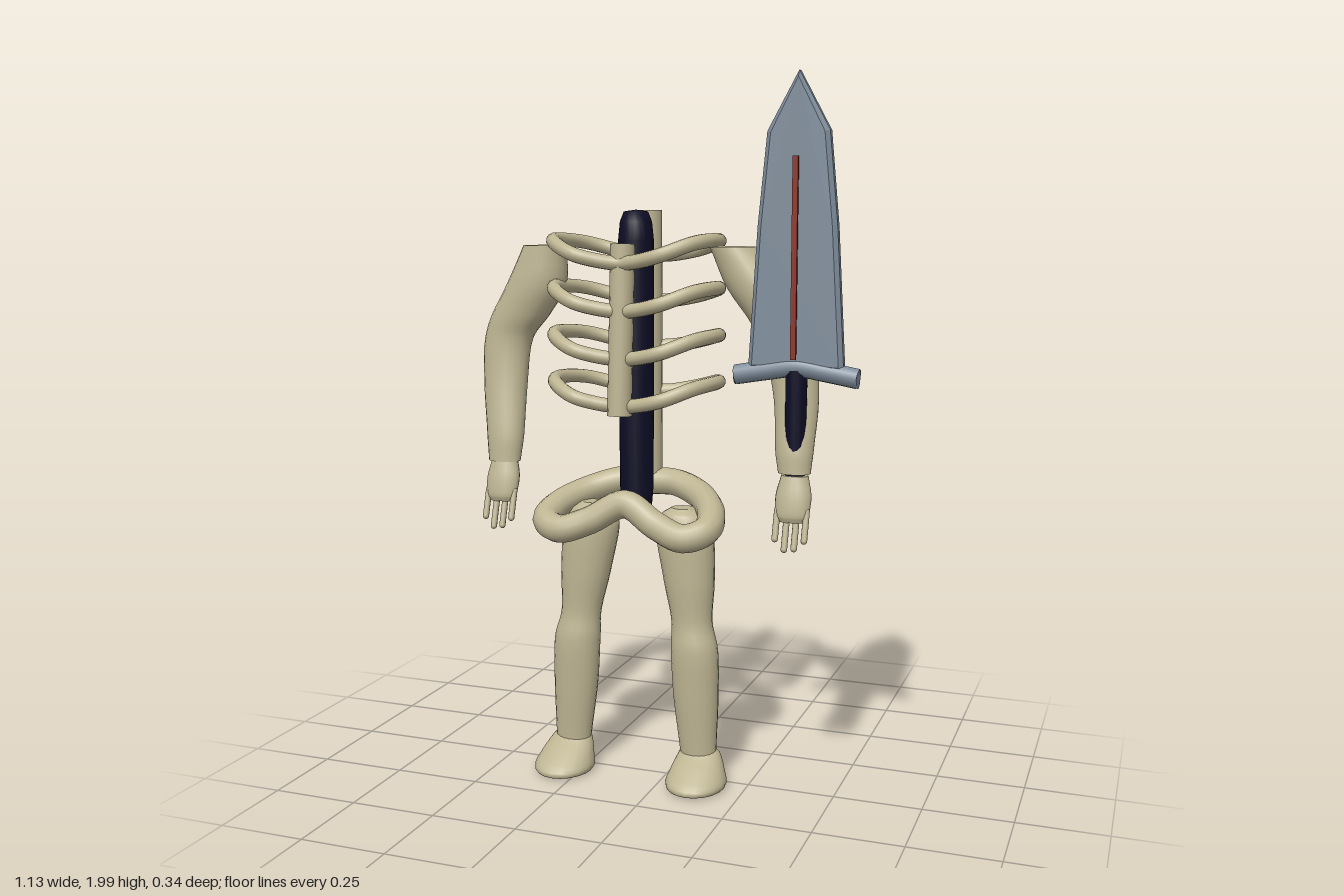
import * as THREE from 'three';

const CX = -0.092; // body centre line

export function createModel() {
  const model = new THREE.Group();
  const mat = (name, color, side = THREE.FrontSide) => {
    const m = new THREE.MeshStandardMaterial({ color, side });
    m.name = name;
    return m;
  };
  const bone = mat('bone', 0xbdb492, THREE.DoubleSide);
  const dark = mat('dark core', 0x0d0d26);
  const steel = mat('steel', 0x7f8d9b, THREE.DoubleSide);
  const red = mat('red inlay', 0x8a2f20);

  const add = (name, geometry, material, parent = model) => {
    const mesh = new THREE.Mesh(geometry, material);
    mesh.name = name;
    parent.add(mesh);
    return mesh;
  };
  const V = (x, y, z) => new THREE.Vector3(x, y, z);

  // Smooth limb through horizontal ellipses [x, y, z, rx, rz], listed top to bottom
  function loft(rows, steps = 24, sides = 20) {
    const centre = new THREE.CatmullRomCurve3(rows.map(r => V(r[0], r[1], r[2])), false, 'centripetal');
    const size = new THREE.CatmullRomCurve3(rows.map(r => V(r[3], r[4], 0)), false, 'catmullrom', 0.4);
    const pos = [], idx = [];
    for (let i = 0; i <= steps; i++) {
      const c = centre.getPoint(i / steps), s = size.getPoint(i / steps);
      for (let j = 0; j < sides; j++) {
        const a = (j / sides) * Math.PI * 2;
        pos.push(c.x + Math.cos(a) * s.x, c.y, c.z + Math.sin(a) * s.y);
      }
    }
    for (let i = 0; i < steps; i++) {
      for (let j = 0; j < sides; j++) {
        const k = (j + 1) % sides;
        const a = i * sides + j, b = i * sides + k;
        idx.push(a, b, a + sides, b, b + sides, a + sides);
      }
    }
    // Flat end caps with their own vertices
    for (const end of [0, steps]) {
      const base = pos.length / 3;
      for (let j = 0; j < sides; j++) {
        const p = (end * sides + j) * 3;
        pos.push(pos[p], pos[p + 1], pos[p + 2]);
      }
      for (let j = 1; j < sides - 1; j++) {
        if (end) idx.push(base, base + j, base + j + 1);
        else idx.push(base, base + j + 1, base + j);
      }
    }
    const g = new THREE.BufferGeometry();
    g.setAttribute('position', new THREE.Float32BufferAttribute(pos, 3));
    g.setIndex(idx);
    g.computeVertexNormals();
    return g;
  }

  // Closed tube mirrored about the body centre; half path runs back to front
  function loop(half, radius) {
    const right = half.map(p => V(CX + p[0], p[1], p[2]));
    const left = half.slice(1, -1).reverse().map(p => V(CX - p[0], p[1], p[2]));
    const curve = new THREE.CatmullRomCurve3([...right, ...left], true);
    return new THREE.TubeGeometry(curve, 96, radius, 12, true);
  }
  const rod = (a, b, r, sides = 16) =>
    new THREE.TubeGeometry(new THREE.LineCurve3(a, b), 1, r, sides, false);

  // Dark inner column
  const core = [[0, 0.765], [0.028, 0.77], [0.043, 0.8], [0.048, 0.86], [0.05, 1.2],
    [0.05, 1.56], [0.045, 1.61], [0.034, 1.638], [0, 1.643]].map(p => new THREE.Vector2(...p));
  add('innerColumn', new THREE.LatheGeometry(core, 20), dark).position.x = CX;

  // Spine and breastbone, hollow at the ends
  add('spine', rod(V(CX, 0.85, -0.117), V(CX, 1.642, -0.113), 0.034), bone);
  add('breastbone', rod(V(CX, 1.08, 0.13), V(CX, 1.55, 0.1), 0.034), bone);

  // Rib loops
  for (let i = 0; i < 4; i++) {
    const y = 1.56 - i * 0.131;
    add('rib', loop([
      [0, y - 0.045, -0.125], [0.06, y - 0.043, -0.137], [0.13, y - 0.03, -0.152],
      [0.2, y - 0.01, -0.112], [0.236, y, 0], [0.205, y - 0.007, 0.1],
      [0.13, y - 0.037, 0.148], [0.06, y - 0.055, 0.135], [0, y - 0.062, 0.12],
    ], 0.02), bone);
  }

  // Pelvis loop
  add('pelvis', loop([
    [0, 0.855, -0.118], [0.08, 0.855, -0.115], [0.17, 0.83, -0.07], [0.235, 0.795, 0.03],
    [0.24, 0.765, 0.1], [0.185, 0.748, 0.132], [0.1, 0.775, 0.115], [0, 0.825, 0.095],
  ], 0.04), bone);

  // Legs and feet
  for (const s of [-1, 1]) {
    const x = d => CX + s * d;
    add('leg', loft([
      [x(0.138), 0.805, -0.01, 0.035, 0.03], [x(0.14), 0.785, -0.01, 0.066, 0.055],
      [x(0.145), 0.73, -0.005, 0.085, 0.064], [x(0.16), 0.6, 0.002, 0.075, 0.06],
      [x(0.172), 0.48, 0.01, 0.06, 0.05], [x(0.182), 0.4, 0.017, 0.069, 0.056],
      [x(0.187), 0.27, 0.018, 0.067, 0.052], [x(0.196), 0.09, 0.02, 0.053, 0.04],
    ], 32), bone);
    add('foot', loft([
      [x(0.198), 0.105, 0.016, 0.05, 0.036], [x(0.2), 0.095, 0.018, 0.06, 0.043],
      [x(0.203), 0.06, 0.045, 0.076, 0.073], [x(0.205), 0.028, 0.066, 0.087, 0.096],
      [x(0.205), 0.012, 0.068, 0.083, 0.096], [x(0.205), 0.006, 0.068, 0.065, 0.08],
    ], 16), bone);
  }

  // Arms
  add('rightArm', loft([
    [-0.372, 1.543, -0.003, 0.064, 0.055], [-0.402, 1.43, -0.004, 0.09, 0.066],
    [-0.452, 1.345, -0.004, 0.088, 0.063], [-0.49, 1.275, 0, 0.073, 0.055],
    [-0.493, 1.15, 0.02, 0.066, 0.05], [-0.478, 1.0, 0.058, 0.056, 0.042],
    [-0.475, 0.925, 0.073, 0.048, 0.034],
  ]), bone);
  add('leftArm', loft([
    [0.19, 1.543, -0.003, 0.064, 0.055], [0.265, 1.43, -0.004, 0.088, 0.066],
    [0.33, 1.33, -0.004, 0.08, 0.063], [0.36, 1.25, 0, 0.072, 0.055],
    [0.382, 1.13, 0.022, 0.062, 0.048], [0.388, 1.0, 0.058, 0.053, 0.042],
    [0.392, 0.94, 0.071, 0.045, 0.034],
  ]), bone);

  // Hands with four fingers
  for (const [name, x] of [['rightHand', -0.472], ['leftHand', 0.395]]) {
    const hand = new THREE.Group();
    hand.name = name;
    model.add(hand);
    add('palm', loft([
      [x, 0.935, 0.075, 0.038, 0.026], [x, 0.88, 0.088, 0.05, 0.03],
      [x, 0.83, 0.102, 0.046, 0.024], [x, 0.812, 0.106, 0.034, 0.014],
    ], 10, 16), bone, hand);
    [0.765, 0.738, 0.742, 0.765].forEach((tip, i) => {
      const fx = x + (i - 1.5) * 0.027;
      const g = new THREE.CapsuleGeometry(0.009, 0.845 - tip, 4, 10);
      g.rotateX(-0.3);
      g.translate(fx, (0.845 + tip) / 2, 0.114);
      add('finger', g, bone, hand);
    });
  }

  // Sword
  const sword = new THREE.Group();
  sword.name = 'sword';
  sword.position.set(0.394, 0, 0.074);
  model.add(sword);
  const outline = new THREE.Shape([[0, 1.998], [-0.084, 1.845], [-0.108, 1.6], [-0.131, 1.22],
    [0.131, 1.22], [0.108, 1.6], [0.084, 1.845]].map(p => new THREE.Vector2(...p)));
  const blade = new THREE.ExtrudeGeometry(outline, {
    depth: 0.02, bevelEnabled: true, bevelThickness: 0.01, bevelSize: 0.012, bevelOffset: -0.012, bevelSegments: 1,
  });
  blade.translate(0, 0, -0.01);
  add('blade', blade, steel, sword);
  add('inlay', new THREE.BoxGeometry(0.015, 0.53, 0.009), red, sword).position.set(0, 1.515, 0.035);

  // Curved guard with closed ends
  const guardCurve = new THREE.CatmullRomCurve3(
    [V(-0.168, 1.202, 0), V(-0.08, 1.217, 0), V(0, 1.228, 0), V(0.08, 1.217, 0), V(0.168, 1.202, 0)]);
  add('guard', new THREE.TubeGeometry(guardCurve, 24, 0.027, 12, false), steel, sword);
  for (const s of [-1, 1]) {
    const cap = add('guardEnd', new THREE.CircleGeometry(0.027, 12), steel, sword);
    cap.position.set(s * 0.168, 1.202, 0);
    cap.rotation.y = s * Math.PI / 2;
  }
  const grip = new THREE.CylinderGeometry(0.03, 0.026, 0.38, 16);
  add('grip', grip, dark, sword).position.set(0, 1.03, -0.003);
  add('pommel', new THREE.SphereGeometry(0.033, 16, 12), steel, sword).position.set(0, 0.835, -0.012);

  return model;
}
